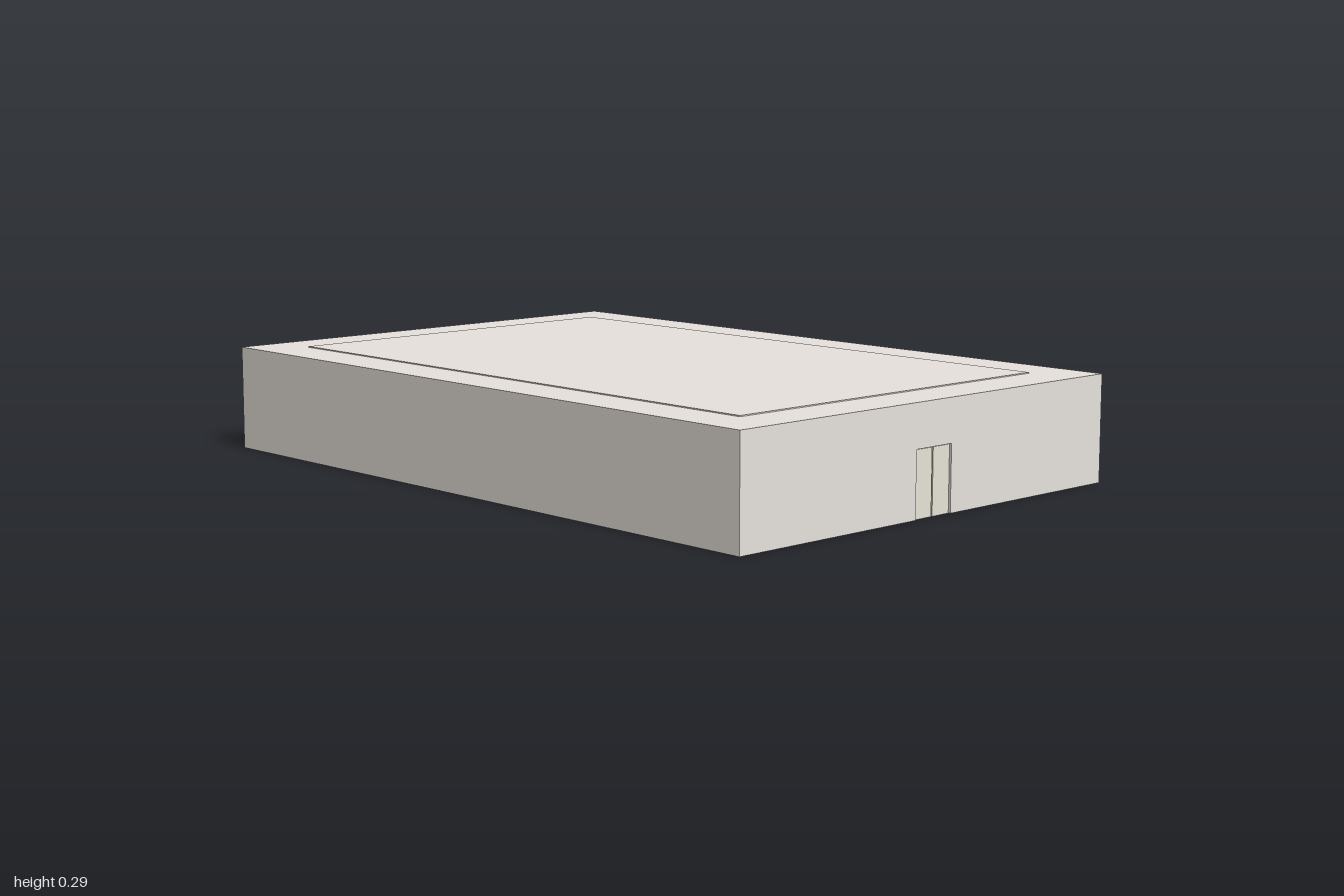
import * as THREE from 'three';

const mat = (name, color) => {
  const m = new THREE.MeshStandardMaterial({ color });
  m.name = name;
  return m;
};

const W = 0.67, D = 1.0, H = 0.29, T = 0.012; // half width, half depth, height, wall thickness
const TX = 0.535, TZ = 0.865;                 // half size of the ceiling tray

export function createModel() {
  const stone = mat('stone', 0xe7e2dc);
  const cream = mat('cream plaster', 0xefebdf);
  const gold = mat('gilding', 0xc9ad5a);
  const glass = mat('pale glass', 0xdddfdb);
  const bronze = mat('dark bronze', 0x6a6352);

  const model = new THREE.Group();
  model.name = 'hall';

  const add = (parent, name, geo, material, x = 0, y = 0, z = 0) => {
    const m = new THREE.Mesh(geo, material);
    m.name = name;
    m.position.set(x, y, z);
    parent.add(m);
    return m;
  };
  const box = (parent, name, material, w, h, d, x, y, z) =>
    add(parent, name, new THREE.BoxGeometry(w, h, d), material, x, y, z);
  const group = (parent, name, x = 0, y = 0, z = 0, ry = 0) => {
    const g = new THREE.Group();
    g.name = name;
    g.position.set(x, y, z);
    g.rotation.y = ry;
    parent.add(g);
    return g;
  };
  const trace = (path, pts) => {
    pts.forEach(([x, y], i) => (i ? path.lineTo(x, y) : path.moveTo(x, y)));
    path.closePath();
    return path;
  };
  const rect = (w, h) => [[-w, -h], [w, -h], [w, h], [-w, h]];
  const extrude = (shape, depth) =>
    new THREE.ExtrudeGeometry(shape, { depth, bevelEnabled: false, curveSegments: 12 });
  // Rectangular ring facing +z, given half sizes and bar width
  const ring = (w, h, bar, depth) => {
    const s = trace(new THREE.Shape(), rect(w, h));
    s.holes.push(trace(new THREE.Path(), rect(w - bar, h - bar)));
    return extrude(s, depth);
  };
  const flatRing = (w, d, bar, y, t) => ring(w, d, bar, t).rotateX(-Math.PI / 2).translate(0, y, 0);
  // Upright outline with a round head, standing on y0
  const arch = (path, r, y0, spring) => {
    path.moveTo(-r, y0);
    path.lineTo(r, y0);
    path.lineTo(r, spring);
    path.absarc(0, spring, r, 0, Math.PI, false);
    path.closePath();
    return path;
  };

  // Outer walls; the front one has a doorway
  const DW = 0.065, DH = 0.175;
  const front = trace(new THREE.Shape(), [[-W, 0], [-DW, 0], [-DW, DH], [DW, DH], [DW, 0], [W, 0], [W, H], [-W, H]]);
  add(model, 'frontWall', extrude(front, T), stone, 0, 0, D - T);
  box(model, 'backWall', stone, 2 * W, H, T, 0, H / 2, -D + T / 2);
  for (const s of [-1, 1])
    box(model, 'sideWall', stone, T, H, 2 * (D - T), s * (W - T / 2), H / 2, 0);

  // Soffit ring, raised roof plate and tray moulding
  const soffit = trace(new THREE.Shape(), rect(W - T, D - T));
  soffit.holes.push(trace(new THREE.Path(), rect(TX, TZ)));
  add(model, 'soffit', extrude(soffit, 0.014).rotateX(-Math.PI / 2), stone, 0, 0.275, 0);
  box(model, 'roof', stone, 2 * (W - T), 0.002, 2 * (D - T), 0, H - 0.001, 0);
  box(model, 'raisedRoofPlate', stone, 2 * TX, 0.003, 2 * TZ, 0, H + 0.0015, 0);
  add(model, 'trayMoulding', flatRing(TX + 0.006, TZ + 0.006, 0.012, 0.257, 0.031), cream);

  // Ceiling beams
  const beams = group(model, 'ceilingBeams');
  for (const x of [-0.17, 0.17])
    box(beams, 'longBeam', stone, 0.012, 0.006, 2 * TZ - 0.012, x, 0.285, 0);
  for (const z of [-0.67, -0.17, 0.33])
    box(beams, 'crossBeam', stone, 2 * TX - 0.012, 0.006, 0.012, 0, 0.285, z);

  // Gilded ceiling medallions
  const medallion = (r, x, z) =>
    add(model, 'medallion', new THREE.CylinderGeometry(r, r * 0.92, 0.008, 24), gold, x, 0.284, z);
  medallion(0.068, 0, -0.08);
  medallion(0.034, 0, 0.575);
  for (const x of [-0.325, 0.325])
    for (const z of [-0.42, 0.078, 0.577]) medallion(0.034, x, z);

  // Arched window, standing on the wall and facing +z
  const makeWindow = (parent, x) => {
    const g = group(parent, 'archedWindow', x);
    const r = 0.062, y0 = 0.03, spring = 0.165;
    add(g, 'pane', extrude(arch(new THREE.Shape(), r, y0, spring), 0.002), glass, 0, 0, 0.001);
    const trim = (name, m, r1, r2, depth) => {
      const s = arch(new THREE.Shape(), r1, y0 - (r1 - r), spring);
      s.holes.push(arch(new THREE.Path(), r2, y0 + (r - r2), spring));
      add(g, name, extrude(s, depth), m);
    };
    trim('outerFrame', cream, 0.077, 0.066, 0.008);
    trim('gildedFrame', gold, 0.067, 0.062, 0.009);
    for (const bx of [-0.021, 0.021])
      box(g, 'verticalBar', bronze, 0.003, 0.19, 0.004, bx, 0.125, 0.004);
    for (const by of [0.063, 0.097, 0.131, 0.165])
      box(g, 'crossBar', bronze, 2 * r, 0.003, 0.004, 0, by, 0.004);
    box(g, 'sill', cream, 0.17, 0.008, 0.012, 0, 0.022, 0.006);
  };

  const makePanel = (parent, x) =>
    add(parent, 'wallPanelFrame', ring(0.064, 0.067, 0.005, 0.004), cream, x, 0.14, 0);

  const makePilaster = (parent, x) => {
    const g = group(parent, 'pilaster', x);
    box(g, 'shaft', cream, 0.024, 0.25, 0.006, 0, 0.14, 0.003);
    box(g, 'base', cream, 0.03, 0.02, 0.009, 0, 0.025, 0.0045);
    box(g, 'capital', cream, 0.03, 0.012, 0.009, 0, 0.258, 0.0045);
    box(g, 'sconcePlate', gold, 0.008, 0.018, 0.005, 0, 0.15, 0.008);
    add(g, 'sconceLamp', new THREE.SphereGeometry(0.005, 10, 8), gold, 0, 0.157, 0.013);
  };

  // Inner faces of the long walls
  for (const s of [-1, 1]) {
    const side = group(model, 'sideWallInterior', s * (W - T), 0, 0, -s * Math.PI / 2);
    const len = 2 * (D - T);
    box(side, 'plaster', cream, len, 0.272, 0.002, 0, 0.137, 0);
    box(side, 'skirting', cream, len, 0.013, 0.008, 0, 0.0085, 0.004);
    box(side, 'skirtingLine', gold, len, 0.003, 0.009, 0, 0.0165, 0.0045);
    for (const x of [-0.745, -0.25, 0.25, 0.745]) makeWindow(side, x);
    for (const x of [-0.5, 0, 0.5]) makePanel(side, x);
    for (let i = 0; i < 8; i++) makePilaster(side, -0.875 + i * 0.25);
  }

  // Skirting on the end walls, broken at the door
  for (const s of [-1, 1]) {
    const w = W - T - DW - 0.012;
    box(model, 'frontSkirting', stone, w, 0.012, 0.008, s * (DW + 0.012 + w / 2), 0.006, D - T - 0.004);
  }
  box(model, 'backSkirting', stone, 2 * (W - T), 0.012, 0.008, 0, 0.006, -D + T + 0.004);

  // Double door with panels and a slim gilded surround on the inside
  const door = group(model, 'doubleDoor', 0, 0, D - T, Math.PI);
  for (const s of [-1, 1]) {
    const x = s * 0.0325;
    box(door, 'leaf', cream, 0.061, DH - 0.002, 0.006, x, (DH - 0.002) / 2, -0.004);
    for (const [y, h] of [[0.04, 0.026], [0.088, 0.013], [0.135, 0.027]])
      add(door, 'leafPanelFrame', ring(0.021, h, 0.003, 0.003), cream, x, y, -0.002);
    box(door, 'handle', gold, 0.003, 0.014, 0.006, s * 0.006, 0.085, 0.001);
    box(door, 'doorJamb', gold, 0.007, DH + 0.007, 0.009, s * (DW + 0.0035), (DH + 0.007) / 2, 0.0045);
  }
  box(door, 'doorHead', gold, 2 * DW + 0.02, 0.007, 0.01, 0, DH + 0.0035, 0.005);

  return model;
}
